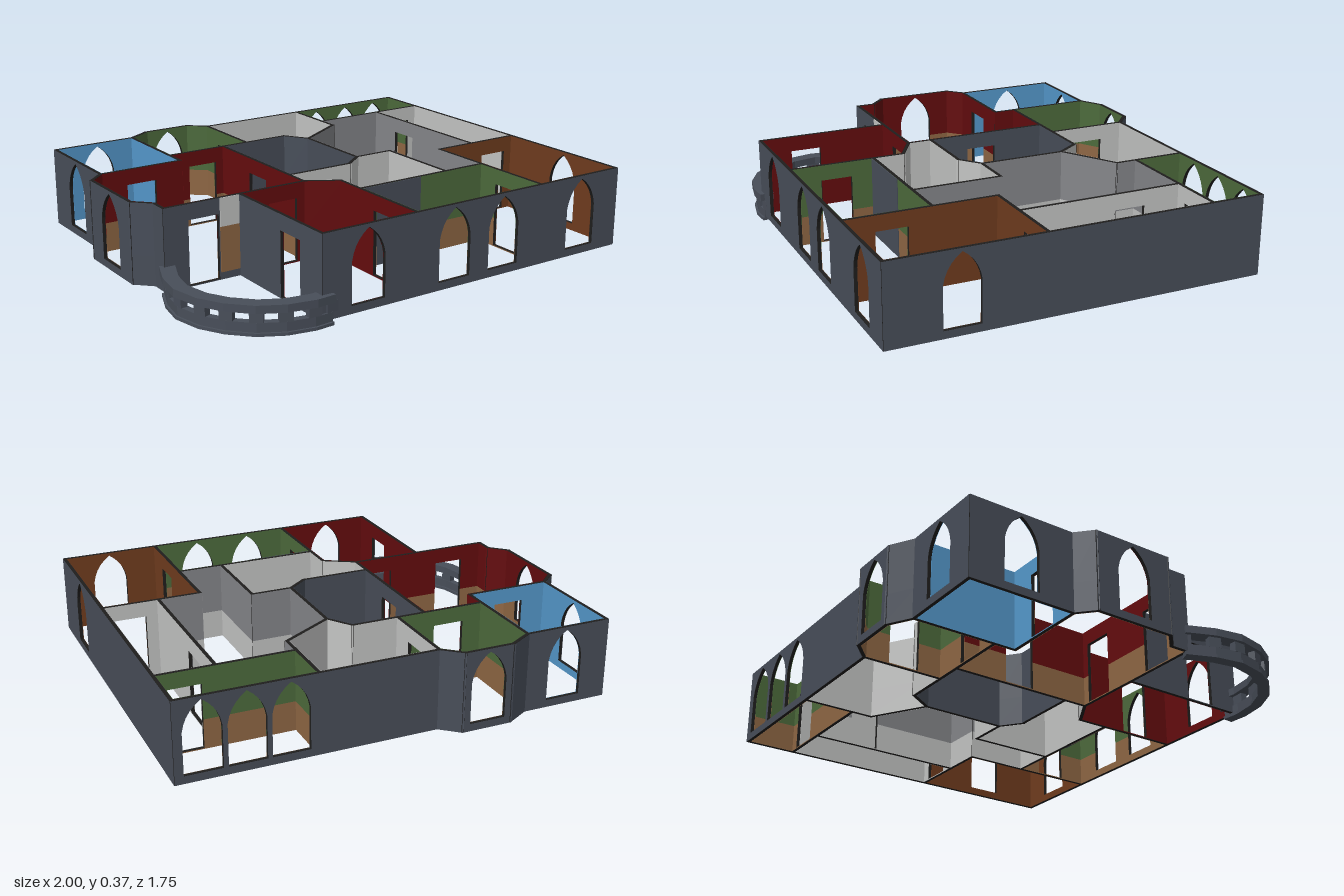
import * as THREE from 'three';

const mat = (name, color) => {
  const m = new THREE.MeshStandardMaterial({ color, side: THREE.DoubleSide });
  m.name = name;
  return m;
};
const slate = mat('slate stone', 0x484e59), dark = mat('wall core black', 0x1f1e1d);
const red = mat('dark red paint', 0x640c0e), tan = mat('tan wainscot', 0x8f6744);
const green = mat('green paint', 0x4d6b3c), blue = mat('blue paint', 0x5599cc);
const brown = mat('brown paint', 0x703c1e), light = mat('light grey plaster', 0xc4c5c4);
const grey = mat('mid grey plaster', 0x85868a);

// Wall bottom, wainscot line, wall top, and half the wall thickness
const Y0 = 0.02, YW = 0.15, Y1 = 0.373, HALF = 0.007;

// Shared plan corners as [x, z]
const P = {
  a1: [-0.91, -0.81], a2: [-0.525, -0.81], a3: [-0.525, -0.335], a4: [-0.91, -0.335],
  b1: [-0.42, -0.87], b2: [-0.2, -0.87], b3: [-0.12, -0.8], b4: [-0.12, -0.435], b5: [-0.525, -0.435],
  c1: [0.4, -0.8], c2: [0.4, -0.475], c3: [0.16, -0.33], c4: [0.09, -0.435],
  d1: [0.99, -0.8], d2: [0.99, -0.57], d3: [0.4, -0.57],
  e1: [0.74, -0.57], e2: [0.99, 0.17], e3: [0.74, 0.17],
  f1: [0.55, 0.17], f2: [0.55, 0.46], f3: [0.345, 0.46], f4: [0.345, 0.06], f5: [0.16, 0.06],
  g1: [0.99, 0.84], g2: [0.55, 0.84], h1: [-0.11, 0.46], h2: [-0.11, 0.84],
  i1: [-0.245, 0.13], i2: [0.07, 0.13], i3: [-0.11, 0.32], i4: [-0.245, 0.24], j1: [-0.245, -0.435],
  k1: [-0.98, -0.27], k2: [-0.98, 0.09], k3: [-0.91, 0.16], k4: [-0.91, 0.24],
  l1: [-0.56, 0.24], l2: [-0.56, 0.84],
};

// Rooms: corners clockwise in plan, upper colour, lower colour
const ROOMS = {
  blueRoom: ['a1 a2 a3 a4', blue, blue],
  backBayRoom: ['a2 b1 b2 b3 b4 b5', green, tan],
  backHall: ['b3 c1 c2 c3 c4 b4', light, light],
  backGallery: ['c1 d1 d2 d3', green, tan],
  sideRoom: ['e1 d2 e2 e3', light, light],
  centralHall: ['d3 e1 e3 f1 f2 f3 f4 f5 c3 c2', grey, light],
  cornerRoom: ['f1 e2 g1 g2', brown, brown],
  frontHall: ['h1 f2 g2 h2', green, tan],
  closet: ['i1 i2 f5 f4 f3 h1 i3 i4', light, light],
  study: ['j1 c4 c3 f5 i2 i1', slate, slate],
  leftBayRoom: ['a4 a3 b5 j1 i4 k4 k3 k2 k1', red, tan],
  frontRoom: ['l1 i4 i3 h2 l2', red, red],
  // counter-clockwise, so that its painted side faces outwards
  exterior: ['a4 k1 k2 k3 k4 l1 l2 g1 d1 b3 b2 b1 a2 a1', slate, slate],
};

// Centres of the arched windows and of the doorways
const WINDOWS = [
  [-0.71, -0.81], [-0.31, -0.87], [0.52, -0.8], [0.7, -0.8], [0.88, -0.8], [0.99, 0.53],
  [-0.35, 0.84], [0.08, 0.84], [0.34, 0.84], [0.78, 0.84], [-0.91, -0.58], [-0.98, -0.09],
];
const DOORS = [
  [-0.735, 0.24], [-0.56, 0.63], [-0.72, -0.335], [-0.36, -0.435], [-0.12, -0.62], [0.87, -0.57],
  [0.74, -0.33], [0.87, 0.17], [0.55, 0.635], [-0.11, 0.635], [-0.245, -0.12], [-0.355, 0.24],
];
const OPENINGS = [
  ...WINDOWS.map(at => ({ at, width: 0.16, sill: 0.053, arch: true })),
  ...DOORS.map(at => ({ at, width: 0.14, sill: 0.024, arch: false })),
];

const shapeOf = pts => new THREE.Shape(pts.map(p => new THREE.Vector2(p[0], p[1])));

// Outline of an opening above the wainscot line, left to right
function headPoints({ a, b, arch }) {
  if (!arch) return [[a, YW], [a, 0.305], [b, 0.305], [b, YW]];
  const half = new THREE.QuadraticBezierCurve(new THREE.Vector2(a, 0.235),
    new THREE.Vector2(a + 0.012, 0.315), new THREE.Vector2((a + b) / 2, 0.36)).getPoints(5).map(v => [v.x, v.y]);
  const mirrored = half.slice(0, 5).reverse().map(([x, y]) => [a + b - x, y]);
  return [[a, YW], ...half, ...mirrored, [b, YW]];
}

// Openings lying on the line from p to q, measured along it
function openingsOn(p, q) {
  const dir = new THREE.Vector2(q[0] - p[0], q[1] - p[1]);
  const len = dir.length();
  dir.normalize();
  return OPENINGS.map(o => {
    const v = new THREE.Vector2(o.at[0] - p[0], o.at[1] - p[1]);
    const s = v.dot(dir);
    return { ...o, off: Math.abs(v.cross(dir)), a: s - o.width / 2, b: s + o.width / 2 };
  }).filter(o => o.off < 0.02 && o.a > 0 && o.b < len).sort((m, n) => m.a - n.a);
}

// One side of a wall from p to q: dark half-core with two painted bands
function wall(p, q, upperPaint, lowerPaint) {
  const g = new THREE.Group();
  g.name = 'wall';
  const dx = q[0] - p[0], dz = q[1] - p[1];
  const l = -HALF, r = Math.hypot(dx, dz) + HALF;
  const cuts = openingsOn(p, q);

  const lower = [[l, Y0], [r, Y0], [r, YW]];
  for (const o of [...cuts].reverse()) lower.push([o.b, YW], [o.b, o.sill], [o.a, o.sill], [o.a, YW]);
  lower.push([l, YW]);
  const upper = [[l, YW], ...cuts.flatMap(headPoints), [r, YW], [r, Y1], [l, Y1]];

  const core = shapeOf([[l, Y0], [r, Y0], [r, Y1], [l, Y1]]);
  core.holes = cuts.map(o => shapeOf([[o.a, o.sill], ...headPoints(o), [o.b, o.sill]]));
  const coreMesh = new THREE.Mesh(new THREE.ExtrudeGeometry(core, { depth: HALF, bevelEnabled: false }), dark);
  coreMesh.name = 'wallCore';
  g.add(coreMesh);

  [['upperWallPaint', upper, upperPaint], ['lowerWallPaint', lower, lowerPaint]].forEach(([name, pts, paint]) => {
    const skin = new THREE.Mesh(new THREE.ShapeGeometry(shapeOf(pts)), paint);
    skin.name = name;
    skin.position.z = HALF + 0.0015;
    g.add(skin);
  });
  g.position.set(p[0], 0, p[1]);
  g.rotation.y = -Math.atan2(dz, dx);
  return g;
}

function room(name, [corners, upperPaint, lowerPaint]) {
  const g = new THREE.Group();
  g.name = name;
  const pts = corners.split(' ').map(k => P[k]);
  pts.forEach((p, i) => g.add(wall(p, pts[(i + 1) % pts.length], upperPaint, lowerPaint)));
  return g;
}

// Curved balcony with a slotted parapet
function balcony() {
  const g = new THREE.Group();
  g.name = 'balcony';
  const mid = [[-0.9, 0.235], [-0.948, 0.355], [-0.968, 0.47], [-0.943, 0.592], [-0.89, 0.687],
    [-0.81, 0.77], [-0.712, 0.821], [-0.6, 0.842], [-0.52, 0.836]];
  const heading = mid.map((p, i) => {
    const a = mid[Math.max(i - 1, 0)], b = mid[Math.min(i + 1, mid.length - 1)];
    return Math.atan2(b[1] - a[1], b[0] - a[0]);
  });
  const edge = d => mid.map(([x, z], i) => [x - Math.sin(heading[i]) * d, -z - Math.cos(heading[i]) * d]);

  const band = (name, width, y0, y1) => {
    const outline = shapeOf([...edge(width / 2), ...edge(-width / 2).reverse()]);
    const geo = new THREE.ExtrudeGeometry(outline, { depth: y1 - y0, bevelEnabled: false });
    geo.rotateX(-Math.PI / 2).translate(0, y0, 0);
    const m = new THREE.Mesh(geo, slate);
    m.name = name;
    g.add(m);
  };
  band('handrail', 0.064, 0.095, 0.128);
  band('parapetBase', 0.032, 0.012, 0.052);
  band('balconySlabEdge', 0.05, 0, 0.013);

  // solid piers between the slots
  mid.forEach(([x, z], i) => {
    const pier = new THREE.Mesh(new THREE.BoxGeometry(0.055, 0.046, 0.03), slate);
    pier.name = 'parapetPier';
    pier.position.set(x, 0.0735, z);
    pier.rotation.y = -heading[i];
    g.add(pier);
  });
  return g;
}

// Thin panel facing the front
function panel(name, paint, x0, x1, y0, y1, z) {
  const m = new THREE.Mesh(new THREE.BoxGeometry(x1 - x0, y1 - y0, 0.004), paint);
  m.name = name;
  m.position.set((x0 + x1) / 2, (y0 + y1) / 2, z);
  return m;
}

export function createModel() {
  const model = new THREE.Group();
  model.name = 'floorPlan';
  Object.entries(ROOMS).forEach(([name, spec]) => model.add(room(name, spec)));
  model.add(balcony());
  model.add(panel('balconyWallLower', tan, -0.66, -0.57, 0.053, 0.25, 0.251));
  model.add(panel('balconyWallUpper', light, -0.66, -0.57, 0.25, Y1, 0.251));
  model.add(panel('frontHallSlatePanel', slate, -0.1, 0.2, Y0, Y1, 0.471));
  return model;
}
